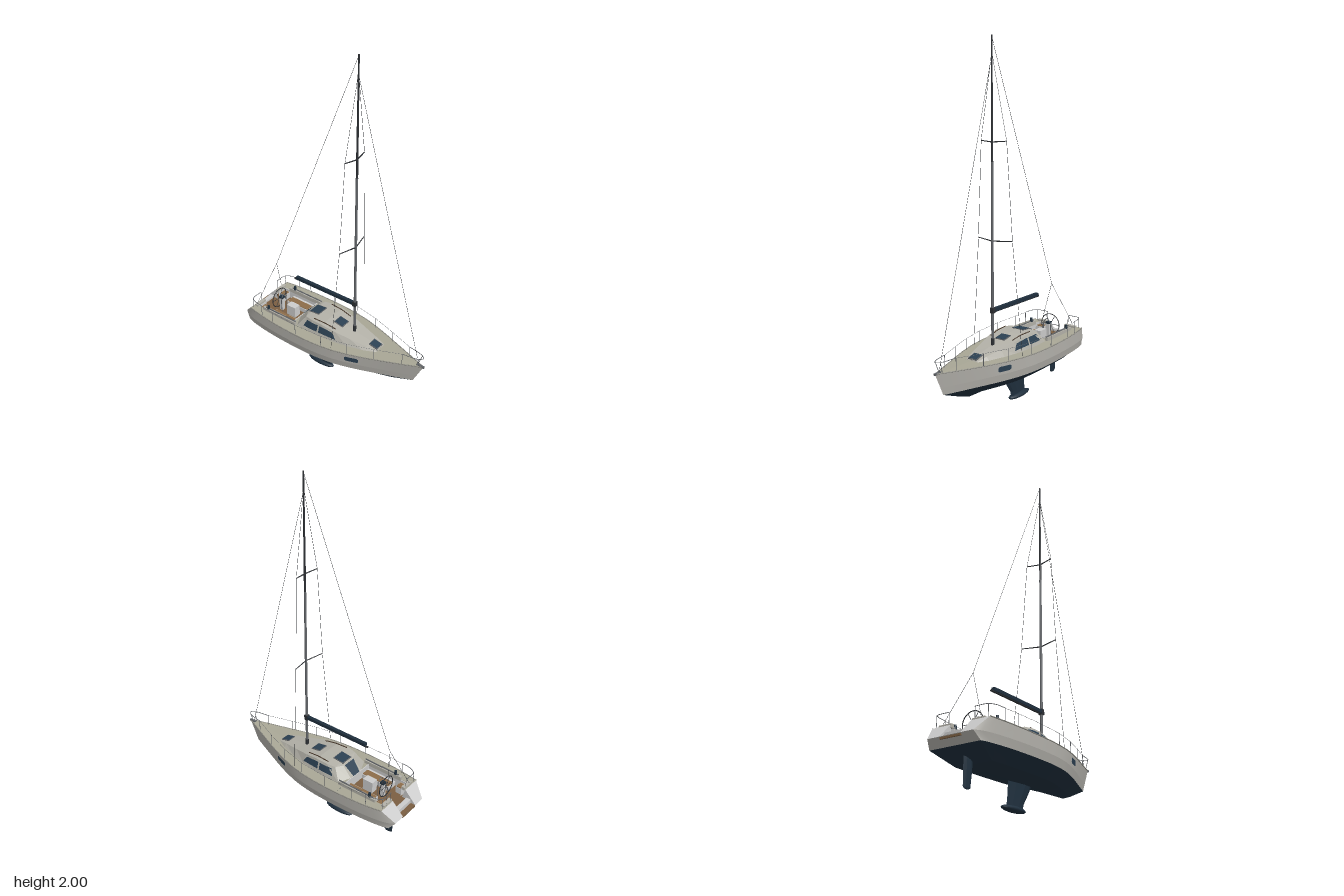
import * as THREE from 'three';

const C = { top: 0xb4b2ac, navy: 0x1f2f3d, deck: 0xa9a796, cabin: 0xb3b1a8, glass: 0x2b4052,
  teak: 0x8c6c49, teakDark: 0x7b5f42, white: 0xc4c4c0, steel: 0x63666a, dark: 0x2c2f33 };
const STERN = -0.53, FLOOR = 0.275;
const lerp = THREE.MathUtils.lerp;
const both = f => [1, -1].forEach(f);

// Linear lookup in a table of [z, value...]
function look(table, z, k = 1) {
  let i = 0;
  while (i < table.length - 2 && z > table[i + 1][0]) i++;
  const a = table[i], b = table[i + 1];
  return lerp(a[k], b[k], THREE.MathUtils.clamp((z - a[0]) / (b[0] - a[0]), 0, 1));
}

// Surface through a grid of points
function loft(rows) {
  const n = rows[0].length, idx = [];
  for (let i = 0; i < rows.length - 1; i++) for (let j = 0; j < n - 1; j++) {
    const a = i * n + j;
    idx.push(a, a + 1, a + n, a + 1, a + n + 1, a + n);
  }
  const g = new THREE.BufferGeometry();
  g.setAttribute('position', new THREE.Float32BufferAttribute(rows.flat(2), 3));
  g.setIndex(idx);
  g.computeVertexNormals();
  return g;
}

// Hull lines, keel to sheer: height, stern z, bow z, width factor
const BEAM = [[-0.6, 0.132], [-0.565, 0.155], [-0.53, 0.167], [-0.48, 0.176], [-0.4, 0.186], [-0.3, 0.193],
  [-0.18, 0.196], [-0.08, 0.194], [0, 0.188], [0.1, 0.173], [0.2, 0.147], [0.3, 0.114], [0.4, 0.077], [0.5, 0.04], [0.6, 0.002]];
const sheerY = z => 0.326 + (z > 0 ? 0.058 : 0.03) * z * z;
const LINES = [[0.145, -0.36, 0.33, 0.1], [0.167, -0.43, 0.4, 0.58], [0.22, -0.565, 0.535, 0.94],
  [0.262, -0.6, 0.555, 0.99], [0, STERN, 0.595, 1]];
function linePt(i, z, s = 1) {
  const [y, , bow, f] = LINES[i];
  return [s * f * look(BEAM, z > 0 ? z * 0.6 / bow : z), y || sheerY(z), z];
}
const hullLine = (i, s) => Array.from({ length: 37 }, (_, k) => linePt(i, lerp(LINES[i][1], LINES[i][2], k / 36), s));

// Cabin sections: base z, base half width, top z, top half width, top height
const CABIN = [[-0.24, 0.05, -0.178, 0.045, 0.391], [-0.205, 0.122, -0.155, 0.09, 0.396], [-0.11, 0.126, -0.1, 0.1, 0.4],
  [-0.03, 0.122, -0.03, 0.1, 0.4], [0.06, 0.113, 0.06, 0.09, 0.384], [0.15, 0.097, 0.15, 0.072, 0.367],
  [0.25, 0.073, 0.25, 0.052, 0.35], [0.318, 0.046, 0.31, 0.038, 0.336]];
const roofY = z => look(CABIN.map(c => [c[2], c[4]]), z);
const cabinSide = (z, u, s) => [s * (lerp(look(CABIN, z), look(CABIN, z, 3), u) + 0.002),
  lerp(0.325, look(CABIN, z, 4), u) + 0.001, lerp(z, look(CABIN, z, 2), u)];

export function createModel() {
  const boat = new THREE.Group();
  boat.name = 'sailingYacht';

  function add(name, geo, color, flat = false) {
    const m = new THREE.Mesh(geo, new THREE.MeshStandardMaterial({ color, flatShading: flat, side: THREE.DoubleSide }));
    m.name = name;
    boat.add(m);
    return m;
  }
  function box(name, x0, x1, y0, y1, z0, z1, color) {
    const m = add(name, new THREE.BoxGeometry(Math.abs(x1 - x0), y1 - y0, Math.abs(z1 - z0)), color);
    m.position.set((x0 + x1) / 2, (y0 + y1) / 2, (z0 + z1) / 2);
    return m;
  }
  function rod(name, a, b, r, color = C.steel, r2 = r, sides = 6) {
    const A = new THREE.Vector3(...a), B = new THREE.Vector3(...b), d = B.clone().sub(A);
    const m = add(name, new THREE.CylinderGeometry(r2, r, d.length(), sides), color);
    m.position.copy(A).add(B).multiplyScalar(0.5);
    m.quaternion.setFromUnitVectors(new THREE.Vector3(0, 1, 0), d.normalize());
  }
  function chain(name, pts, r, color) {
    for (let i = 1; i < pts.length; i++) rod(name, pts[i - 1], pts[i], r, color);
  }
  function pipe(name, pts, r, color) {
    const path = new THREE.CatmullRomCurve3(pts.map(p => new THREE.Vector3(...p)));
    add(name, new THREE.TubeGeometry(path, 40, r, 6), color);
  }

  // Hull sides and bottom, one strip between neighbouring lines
  both(s => {
    for (let i = 0; i < 4; i++)
      add(i < 2 ? 'hullBottom' : 'topsides', loft([hullLine(i, s), hullLine(i + 1, s)]), i < 2 ? C.navy : C.top);
  });
  add('keelFlat', loft([hullLine(0, -1), hullLine(0, 1)]), C.navy);
  const sternPt = (i, s) => linePt(i, LINES[i][1], s);
  for (let i = 0; i < 3; i++)
    add('sternRun', loft([[sternPt(i, -1), sternPt(i, 1)], [sternPt(i + 1, -1), sternPt(i + 1, 1)]]), i < 2 ? C.navy : C.top);

  // Transom quarters either side of the open boarding step
  both(s => {
    add('transom', loft([[[s * 0.06, 0.262, -0.6], sternPt(3, s)], [[s * 0.06, sheerY(STERN), STERN], sternPt(4, s)]]), C.white);
    add('stepCheek', loft([[[s * 0.06, 0.262, -0.6], [s * 0.06, 0.24, -0.53]], [[s * 0.06, sheerY(STERN), STERN], [s * 0.06, 0.24, -0.5]]]), C.white);
  });
  box('boardingStep', -0.06, 0.06, 0.25, 0.263, -0.598, -0.57, C.teakDark);
  box('stepRiser', -0.058, 0.058, 0.25, 0.287, -0.57, -0.542, C.white);

  // Side decks and foredeck, left open around the cockpit
  const deckZ = (a, b, n) => Array.from({ length: n + 1 }, (_, k) => lerp(a, b, k / n));
  both(s => [[STERN, -0.5, 0.06, 2], [-0.5, -0.24, 0.12, 8], [-0.24, 0.595, 0, 26]].forEach(([a, b, inner, n]) =>
    add('deck', loft(deckZ(a, b, n).map(z => {
      const edge = linePt(4, z, s), x = Math.min(inner, Math.abs(edge[0]));
      return [[s * x, sheerY(z) + (inner ? 0 : 0.03 * Math.abs(edge[0])), z], edge];
    })), C.deck)));
  both(s => pipe('toeRail', hullLine(4, s), 0.003, 0x8f8e86));

  // Cockpit well, benches and coamings
  box('cockpitFloor', -0.12, 0.12, FLOOR - 0.01, FLOOR, -0.545, -0.235, C.teakDark);
  box('cockpitFrontWall', -0.12, 0.12, FLOOR, 0.334, -0.24, -0.235, C.white);
  both(s => {
    box('cockpitWall', s * 0.118, s * 0.122, FLOOR, 0.33, -0.5, -0.24, C.white);
    box('cockpitAftWall', s * 0.06, s * 0.12, FLOOR, 0.331, -0.503, -0.5, C.white);
    box('bench', s * 0.05, s * 0.118, FLOOR, 0.302, -0.425, -0.24, C.white);
    box('benchSlats', s * 0.055, s * 0.1, 0.302, 0.306, -0.42, -0.242, C.teak);
    box('helmSeat', s * 0.07, s * 0.118, FLOOR, 0.316, -0.5, -0.46, C.white);
    box('helmSeatSlats', s * 0.072, s * 0.112, 0.316, 0.32, -0.497, -0.463, C.teak);
    box('coaming', s * 0.115, s * 0.133, 0.325, 0.35, -0.46, -0.21, C.cabin);
    box('aftCoaming', s * 0.06, s * 0.133, 0.325, 0.344, -0.525, -0.503, C.cabin);
    rod('coamingRail', [s * 0.124, 0.353, -0.44], [s * 0.124, 0.353, -0.21], 0.004);
    rod('winch', [s * 0.124, 0.35, -0.42], [s * 0.124, 0.374, -0.42], 0.009, C.navy, 0.007, 12);
  });

  // Steering pedestal and wheel
  box('cockpitTable', -0.022, 0.022, FLOOR, 0.345, -0.365, -0.3, C.white);
  box('pedestal', -0.012, 0.012, FLOOR, 0.36, -0.432, -0.41, C.white);
  box('compass', -0.013, 0.013, 0.36, 0.372, -0.434, -0.408, C.navy);
  add('wheelRim', new THREE.TorusGeometry(0.062, 0.0025, 6, 32), C.dark).position.set(0, 0.352, -0.442);
  for (let k = 0; k < 3; k++) {
    const a = k * Math.PI / 3, x = 0.062 * Math.cos(a), y = 0.062 * Math.sin(a);
    rod('wheelSpoke', [-x, 0.352 - y, -0.442], [x, 0.352 + y, -0.442], 0.0015, C.dark);
  }
  pipe('pedestalGuard', [[-0.022, FLOOR, -0.405], [-0.022, 0.37, -0.405], [0, 0.395, -0.405], [0.022, 0.37, -0.405], [0.022, FLOOR, -0.405]], 0.002, C.steel);

  // Cabin trunk with faceted sides
  const section = ([bz, b, tz, t, y]) => [[-b, 0.325, bz], [-t, y, tz], [0, y + 0.004, tz], [t, y, tz], [b, 0.325, bz]];
  add('cabin', loft(CABIN.map(section)), C.cabin, true);
  [CABIN[0], CABIN[7]].forEach(([bz, b, tz, t, y]) =>
    add('cabinEnd', loft([[[-b, 0.325, bz], [b, 0.325, bz]], [[-t, y, tz], [t, y, tz]], [[0, y + 0.004, tz], [0, y + 0.004, tz]]]), C.cabin, true));
  add('companionway', loft([[[-0.028, 0.335, -0.235], [0.028, 0.335, -0.235]], [[-0.04, 0.393, -0.181], [0.04, 0.393, -0.181]]]
    .map(r => r.map(([x, y, z]) => [x, y, z - 0.003]))), C.glass);

  // Cabin windows and hull ports follow the surfaces they sit on
  both(s => {
    [[-0.165, -0.058, 0, 0], [-0.046, 0.07, 0, -0.025]].forEach(([a, b, da, db]) =>
      add('cabinWindow', loft([0, 1].map(t => deckZ(a + da * t, b + db * t, 8).map(z => cabinSide(z, lerp(0.3, 0.82, t), s)))), C.glass));
    add('hullPort', loft([0.25, 0.35, 0.6, 0.7].map((v, k) => deckZ(k % 3 ? 0.17 : 0.178, k % 3 ? 0.25 : 0.242, 8).map(z => {
      const p = linePt(3, z, s), q = linePt(4, z, s);
      return [lerp(p[0], q[0], v) + s * 0.003, lerp(p[1], q[1], v), z];
    }))), C.glass);
    rod('grabRail', [s * 0.085, roofY(-0.1) + 0.006, -0.1], [s * 0.08, roofY(-0.02) + 0.006, -0.02], 0.003, 0x4a3a2c);
    rod('grabRail', [s * 0.08, roofY(-0.02) + 0.006, -0.02], [s * 0.074, roofY(0.05) + 0.006, 0.05], 0.003, 0x4a3a2c);
  });

  // Deck hatches tilted with the roof
  [[-0.17, -0.1, 0.039], [0.005, 0.068, 0.032], [0.25, 0.308, 0.028]].forEach(([a, b, w]) => {
    const slope = Math.atan2(roofY(a) - roofY(b), b - a), y = (roofY(a) + roofY(b)) / 2 + 0.004;
    box('hatchFrame', -w, w, y - 0.003, y + 0.003, a, b, C.steel).rotation.x = slope;
    box('hatchGlass', -w + 0.004, w - 0.004, y - 0.002, y + 0.0045, a + 0.004, b - 0.004, C.glass).rotation.x = slope;
  });

  // Keel fin, bulb and rudder: tapered foils
  function foil(name, tiers) {
    const ring = ([y, front, back, h]) => [[0, 0], [0.12, 0.7], [0.35, 1], [0.7, 0.6], [1, 0], [0.7, -0.6], [0.35, -1], [0.12, -0.7], [0, 0]]
      .map(([t, x]) => [x * h, y, lerp(front, back, t)]);
    const rings = tiers.map(ring), last = tiers[tiers.length - 1];
    add(name, loft([...rings, ring([last[0], last[1], last[2], 0])]), C.navy, true);
  }
  foil('keelFin', [[0.155, 0.035, -0.165, 0.015], [0.1, 0, -0.165, 0.013], [0.05, -0.035, -0.17, 0.011], [0.02, -0.04, -0.175, 0.011]]);
  foil('rudder', [[0.19, -0.435, -0.5, 0.01], [0.13, -0.437, -0.5, 0.009], [0.055, -0.445, -0.498, 0.007], [0.047, -0.455, -0.49, 0.005]]);
  const bulb = add('keelBulb', new THREE.SphereGeometry(1, 16, 10), C.navy);
  bulb.scale.set(0.028, 0.016, 0.095);
  bulb.position.set(0, 0.016, -0.117);

  // Mast, spreaders and boom
  rod('mast', [0, 0.37, 0.13], [0, 1.36, 0.13], 0.0075, C.steel, 0.0065, 12);
  rod('topmast', [0, 1.36, 0.13], [0, 2, 0.13], 0.0062, C.dark, 0.004, 12);
  rod('mastFoot', [0, 0.37, 0.13], [0, 0.41, 0.13], 0.01, C.dark, 0.01, 12);
  rod('boom', [0, 0.556, 0.125], [0, 0.555, -0.31], 0.006, C.dark, 0.006, 10);
  box('boomCover', -0.01, 0.01, 0.557, 0.575, -0.295, 0.118, C.navy);
  box('gooseneck', -0.011, 0.011, 0.55, 0.58, 0.118, 0.14, C.dark);
  both(s => {
    const tips = [[s * 0.113, 0.948, 0.105], [s * 0.083, 1.468, 0.115]];
    tips.forEach(t => rod('spreader', [0, t[1] - 0.006, 0.13], t, 0.0035, C.dark, 0.0025));
    chain('shroud', [[s * 0.165, 0.33, 0.085], ...tips, [0, 1.92, 0.13]], 0.0009, C.dark);
    rod('backstayLeg', [0, 0.6, -0.452], [s * 0.115, 0.335, -0.525], 0.0009, C.dark);
  });
  rod('forestay', [0, 1.89, 0.134], [0, 0.35, 0.565], 0.0009, C.dark);
  rod('backstay', [0, 1.985, 0.126], [0, 0.6, -0.452], 0.0009, C.dark);

  // Guard rails
  const rail = (z, s, h) => { const p = linePt(4, z, s); return [p[0] - s * 0.008, p[1] + h, z]; };
  both(s => {
    const posts = [-0.43, -0.34, -0.16, 0.02, 0.18, 0.33, 0.48];
    posts.forEach(z => rod('stanchion', rail(z, s, 0), rail(z, s, 0.066), 0.0016));
    chain('lifeline', posts.map(z => rail(z, s, 0.065)), 0.0008);
    pipe('pushpit', [rail(-0.43, s, 0.066), rail(-0.49, s, 0.066), [s * 0.145, 0.398, -0.522], [s * 0.075, 0.398, -0.526]], 0.0018, C.steel);
    [0.15, 0.075].forEach(x => rod('pushpitPost', [s * x, 0.333, -0.522], [s * x, 0.398, -0.522], 0.0016));
    rod('pulpitPost', [s * 0.012, 0.345, 0.555], [s * 0.018, 0.405, 0.575], 0.0016);
  });
  pipe('pulpit', [rail(0.48, -1, 0.066), [-0.02, 0.404, 0.57], [0, 0.405, 0.592], [0.02, 0.404, 0.57], rail(0.48, 1, 0.066)], 0.0018, C.steel);
  box('bowRoller', -0.006, 0.006, 0.34, 0.35, 0.555, 0.6, C.steel);
  return boat;
}
